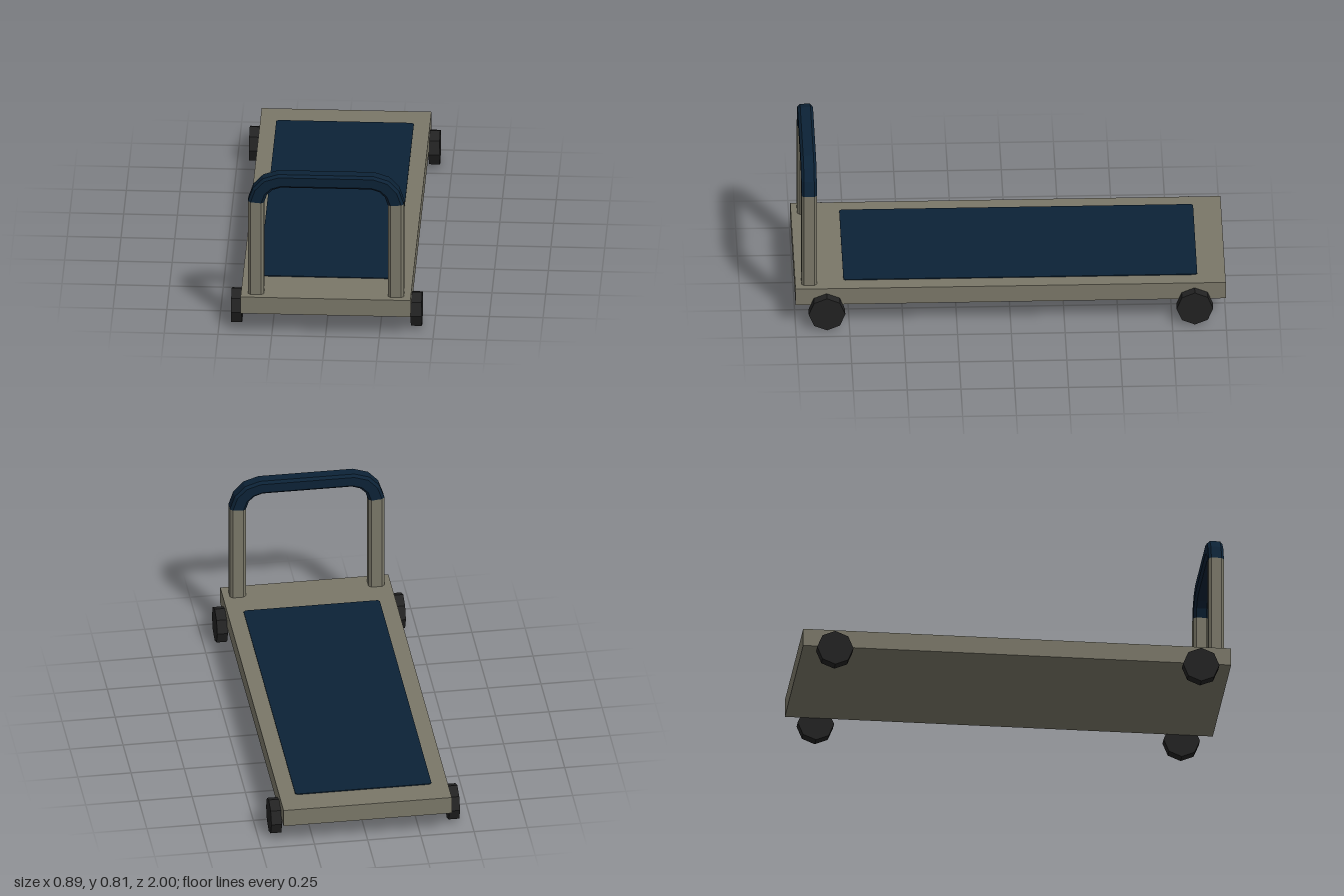
import * as THREE from 'three';

const flat = (name, color) => {
  const m = new THREE.MeshStandardMaterial({ color, flatShading: true });
  m.name = name;
  return m;
};

// Half of the handle outline: [outer x, outer y, inner x, inner y], from base to top bar
const HALF = [
  [-0.363, 0.19, -0.288, 0.19],
  [-0.363, 0.673, -0.288, 0.667],
  [-0.34, 0.74, -0.274, 0.708],
  [-0.293, 0.79, -0.248, 0.733],
  [-0.222, 0.813, -0.21, 0.746],
];
const STATIONS = [...HALF, ...HALF.slice().reverse().map(([a, b, c, d]) => [-a, b, -c, d])];

// Chamfered square section: u runs inner to outer, v runs across the depth
const SECTION = [
  [1, -0.66], [1, 0.66], [0.66, 1], [-0.66, 1],
  [-1, 0.66], [-1, -0.66], [-0.66, -1], [0.66, -1],
];

// Tube through a run of stations
function loft(stations, z, halfDepth) {
  const rings = stations.map(([ox, oy, ix, iy]) => SECTION.map(([u, v]) => {
    const t = (u + 1) / 2;
    return [ix + (ox - ix) * t, iy + (oy - iy) * t, z + v * halfDepth];
  }));
  const pos = [];
  const n = SECTION.length;
  for (let i = 0; i < rings.length - 1; i++) {
    for (let j = 0; j < n; j++) {
      const k = (j + 1) % n;
      const a = rings[i][j], b = rings[i][k], c = rings[i + 1][k], d = rings[i + 1][j];
      pos.push(...a, ...b, ...c, ...a, ...c, ...d);
    }
  }
  const g = new THREE.BufferGeometry();
  g.setAttribute('position', new THREE.Float32BufferAttribute(pos, 3));
  g.computeVertexNormals();
  return g;
}

export function createModel() {
  const group = new THREE.Group();
  group.name = 'platformTrolley';
  const grey = flat('warmGrey', 0x7a7768);
  const navy = flat('navy', 0x0c2236);
  const black = flat('rubberBlack', 0x222222);

  const add = (name, geometry, material, x = 0, y = 0, z = 0) => {
    const mesh = new THREE.Mesh(geometry, material);
    mesh.name = name;
    mesh.position.set(x, y, z);
    group.add(mesh);
    return mesh;
  };

  // Deck
  add('deck', new THREE.BoxGeometry(0.79, 0.085, 2), grey, 0, 0.1535, 0);

  // Mat with clipped corners
  const w = 0.32, h = 0.8225, c = 0.01;
  const outline = new THREE.Shape([
    [-w + c, -h], [w - c, -h], [w, -h + c], [w, h - c],
    [w - c, h], [-w + c, h], [-w, h - c], [-w, -h + c],
  ].map(([x, y]) => new THREE.Vector2(x, y)));
  const mat = new THREE.ExtrudeGeometry(outline, { depth: 0.005, bevelEnabled: false });
  mat.rotateX(-Math.PI / 2);
  add('mat', mat, navy, 0, 0.195, -0.0475);

  // Push handle: two posts and a curved grip
  const z = 0.935, depth = 0.036;
  add('rightPost', loft(STATIONS.slice(0, 2), z, depth), grey);
  add('grip', loft(STATIONS.slice(1, 9), z, depth), navy);
  add('leftPost', loft(STATIONS.slice(8), z, depth), grey);

  // Eight-sided wheels
  const wheel = new THREE.CylinderGeometry(0.085, 0.085, 0.05, 8);
  wheel.rotateZ(Math.PI / 2);
  for (const sx of [1, -1]) {
    for (const sz of [1, -1]) {
      const name = (sz > 0 ? 'front' : 'back') + (sx > 0 ? 'Left' : 'Right') + 'Wheel';
      add(name, wheel, black, sx * 0.418, 0.085, sz * 0.855);
    }
  }
  return group;
}
